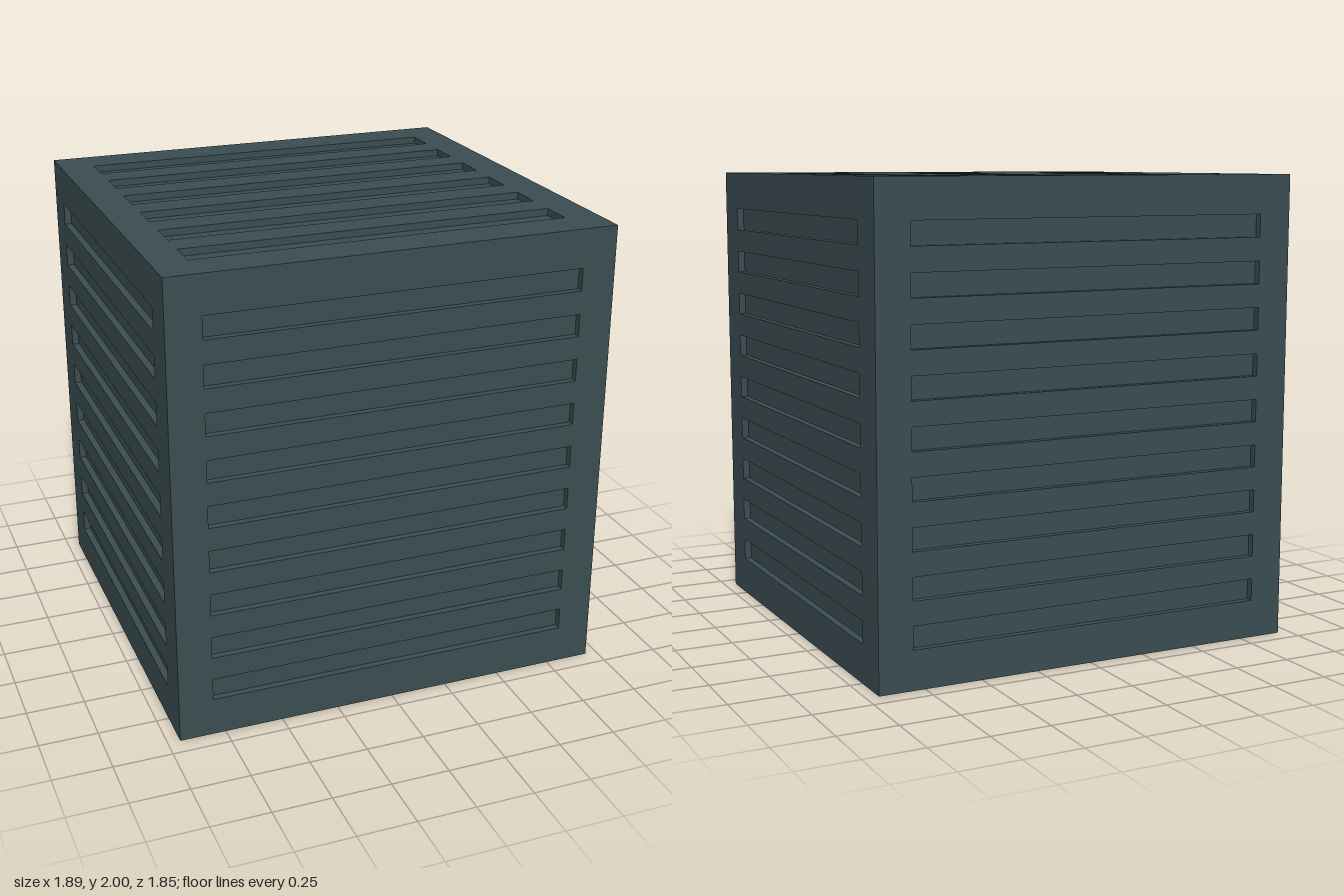
import * as THREE from 'three';
import { mergeGeometries } from 'three/addons/utils/BufferGeometryUtils.js';

const W = 1.894, H = 2, D = 1.846; // overall size
const DEPTH = 0.03; // groove depth

// Rectangular pocket open toward +z, its mouth at z = 0, faces pointing inward
function pocket(w, h, y) {
  const g = new THREE.BoxGeometry(w, h, DEPTH);
  const index = Array.from(g.index.array);
  index.splice(24, 6); // drop the +z cap
  g.setIndex(index.reverse());
  g.clearGroups();
  const n = g.attributes.normal;
  for (let i = 0; i < n.count; i++) n.setXYZ(i, -n.getX(i), -n.getY(i), -n.getZ(i));
  return g.translate(0, y, -DEPTH / 2);
}

// Flat face in the xy plane with a column of evenly spaced horizontal grooves
function groovedFace(w, h, slotW, slotH, count, pitch) {
  const shape = new THREE.Shape([
    new THREE.Vector2(-w / 2, -h / 2), new THREE.Vector2(w / 2, -h / 2),
    new THREE.Vector2(w / 2, h / 2), new THREE.Vector2(-w / 2, h / 2),
  ]);
  const parts = [];
  for (let i = 0; i < count; i++) {
    const y = (i - (count - 1) / 2) * pitch;
    const a = slotW / 2, b = slotH / 2;
    shape.holes.push(new THREE.Path([
      new THREE.Vector2(-a, y - b), new THREE.Vector2(-a, y + b),
      new THREE.Vector2(a, y + b), new THREE.Vector2(a, y - b),
    ]));
    parts.push(pocket(slotW, slotH, y));
  }
  return mergeGeometries([new THREE.ShapeGeometry(shape), ...parts]);
}

export function createModel() {
  const crate = new THREE.Group();
  crate.name = 'groovedCrate';
  const material = new THREE.MeshStandardMaterial({ color: 0x3b4d51 });

  const frontBack = groovedFace(W, H, 1.6, 0.096, 9, 0.1967);
  const sides = groovedFace(D, H, 1.514, 0.096, 9, 0.1967);
  const topBottom = groovedFace(W, D, 1.6, 0.143, 6, 0.272);

  // name, geometry, distance from the centre, rotation about x, rotation about y
  const faces = [
    ['frontPanel', frontBack, D / 2, 0, 0],
    ['backPanel', frontBack, D / 2, 0, Math.PI],
    ['leftPanel', sides, W / 2, 0, Math.PI / 2],
    ['rightPanel', sides, W / 2, 0, -Math.PI / 2],
    ['topPanel', topBottom, H / 2, -Math.PI / 2, 0],
    ['bottomPanel', topBottom, H / 2, Math.PI / 2, 0],
  ];
  for (const [name, geometry, distance, rx, ry] of faces) {
    const panel = new THREE.Mesh(geometry, material);
    panel.name = name;
    panel.rotation.set(rx, ry, 0);
    panel.translateZ(distance);
    panel.position.y += H / 2;
    crate.add(panel);
  }
  return crate;
}
